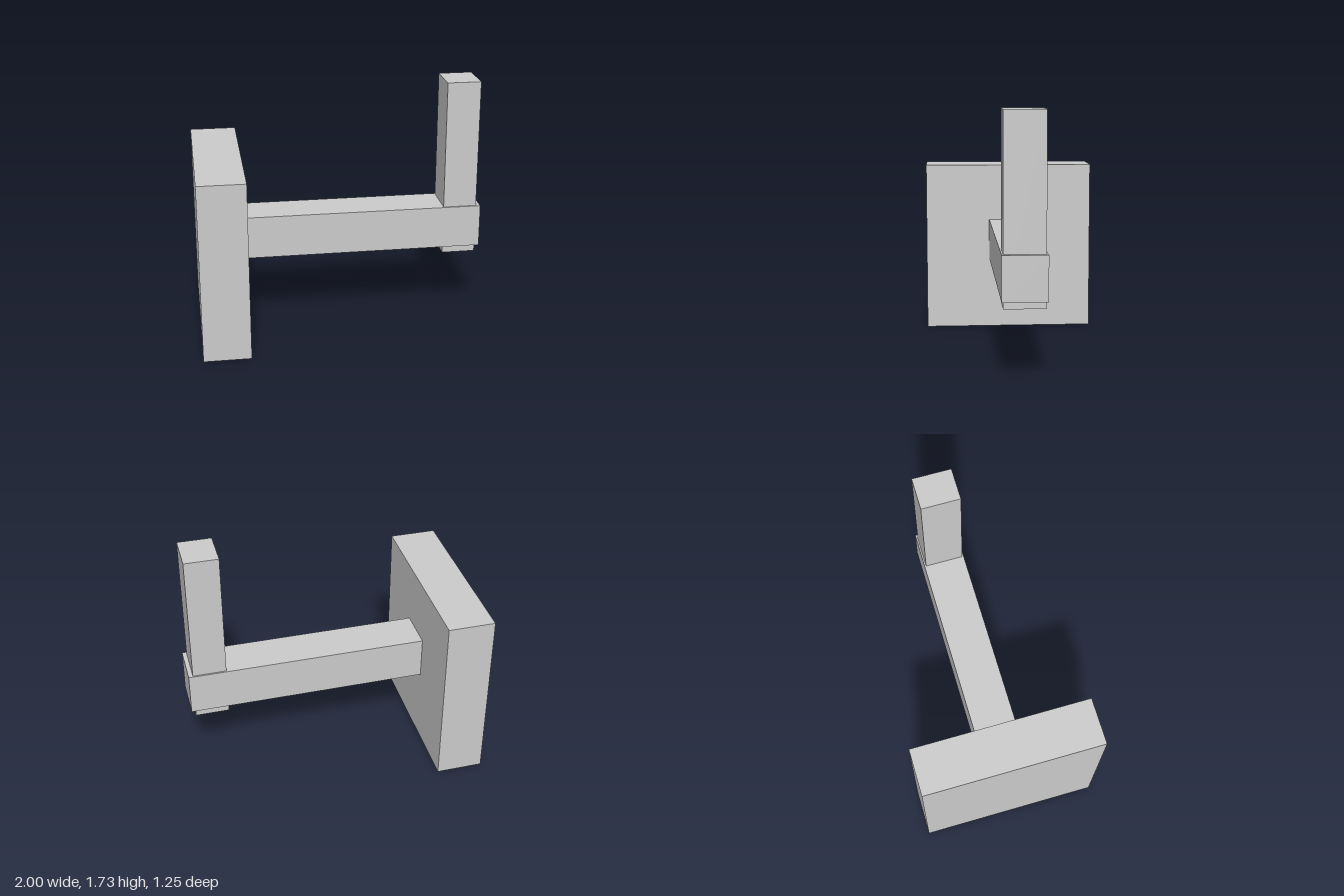
import * as THREE from 'three';

export function createModel() {
  const group = new THREE.Group();
  const material = new THREE.MeshStandardMaterial({ color: 0xcccccc, flatShading: true });

  // Box spanning the given [min, max] range on each axis
  function addBox(name, [x0, x1], [y0, y1], [z0, z1]) {
    const mesh = new THREE.Mesh(new THREE.BoxGeometry(x1 - x0, y1 - y0, z1 - z0), material);
    mesh.position.set((x0 + x1) / 2, (y0 + y1) / 2, (z0 + z1) / 2);
    mesh.name = name;
    group.add(mesh);
  }

  // Square wall plate
  addBox('wallPlate', [-1, -0.675], [0, 1.25], [-0.625, 0.625]);
  // Horizontal arm, its end set slightly into the plate
  addBox('arm', [-0.69, 1], [0.53, 0.83], [-0.148, 0.148]);
  // Upright peg passing through the arm
  addBox('uprightPeg', [0.737, 0.97], [0.483, 1.73], [-0.137, 0.137]);

  return group;
}
